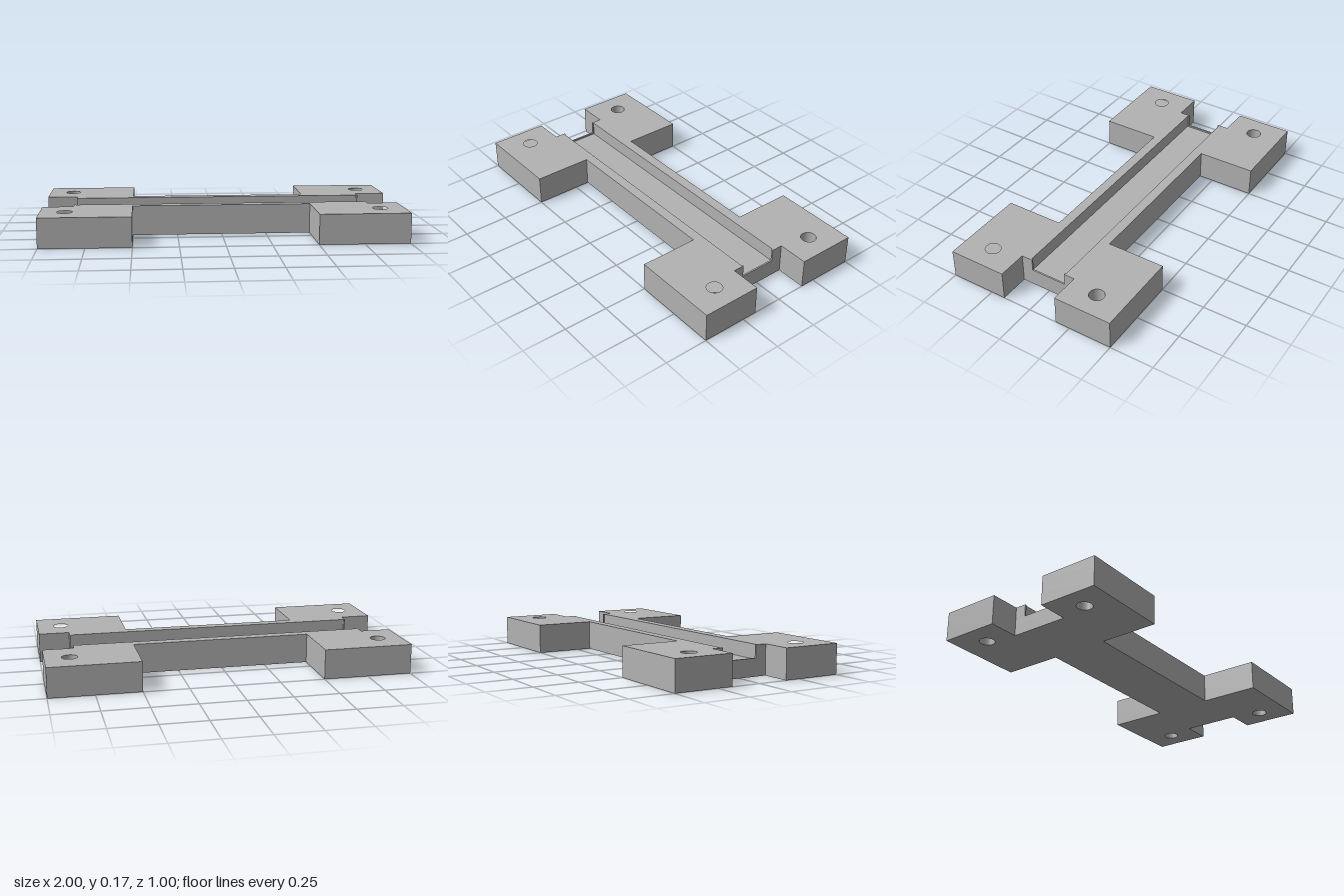
import * as THREE from 'three';

const HEIGHT = 1 / 6;        // total thickness
const FLOOR = 0.088;         // channel floor
const LIP = 0.097;           // top of the low lip closing each channel end
const END = 0.829;           // outer end of the bar between the tabs
const POCKET_X = 0.82, POCKET_Z = 0.11, MOUTH_Z = 0.103;
const BAR_Z = 1 / 6;         // half width of the bar
const HOLE = { x: 0.865, z: 1 / 3, r: 0.042 };

const shapeOf = (points) => new THREE.Shape(points.map(([x, z]) => new THREE.Vector2(x, z)));

function addHole(shape, x, z) {
  const hole = new THREE.Path();
  hole.absarc(x, z, HOLE.r, 0, Math.PI * 2, true);
  shape.holes.push(hole);
}

// Outer edge of one long side with its two tabs, from +x to -x
const sideEdge = (s) => [
  [END, s * BAR_Z], [1, s * BAR_Z], [1, s * 0.5], [0.5, s * 0.5], [0.5, s * BAR_Z],
  [-0.5, s * BAR_Z], [-0.5, s * 0.5], [-1, s * 0.5], [-1, s * BAR_Z], [-END, s * BAR_Z],
];

// Whole H-shaped footprint with four screw holes
function footprint() {
  const shape = shapeOf([...sideEdge(1), ...sideEdge(-1).reverse()]);
  for (const x of [-HOLE.x, HOLE.x]) for (const z of [-HOLE.z, HOLE.z]) addHole(shape, x, z);
  return shape;
}

export function createModel() {
  const model = new THREE.Group();
  model.name = 'mountingBracket';
  const grey = new THREE.MeshStandardMaterial({ color: 0xb2b2b2 });
  grey.name = 'grey';

  // Stands a footprint shape up between two heights
  const addSlab = (name, shape, y0, y1) => {
    const geometry = new THREE.ExtrudeGeometry(shape, {
      depth: y1 - y0, bevelEnabled: false, curveSegments: 32,
    });
    geometry.rotateX(-Math.PI / 2);
    geometry.translate(0, y0, 0);
    const mesh = new THREE.Mesh(geometry, grey);
    mesh.name = name;
    model.add(mesh);
  };

  // Base under the channel
  addSlab('base', footprint(), 0, FLOOR);

  // Thin layer whose pocket leaves a low lip at both ends
  const lipLayer = footprint();
  lipLayer.holes.push(new THREE.Path([
    [-POCKET_X, -POCKET_Z], [-POCKET_X, POCKET_Z], [POCKET_X, POCKET_Z], [POCKET_X, -POCKET_Z],
  ].map(([x, z]) => new THREE.Vector2(x, z))));
  addSlab('channelLip', lipLayer, FLOOR, LIP);

  // Two raised walls with tabs; the channel narrows slightly at its mouths
  for (const s of [1, -1]) {
    const wall = shapeOf([
      ...sideEdge(s),
      [-END, s * MOUTH_Z], [-POCKET_X, s * MOUTH_Z], [-POCKET_X, s * POCKET_Z],
      [POCKET_X, s * POCKET_Z], [POCKET_X, s * MOUTH_Z], [END, s * MOUTH_Z],
    ]);
    for (const x of [-HOLE.x, HOLE.x]) addHole(wall, x, s * HOLE.z);
    addSlab(s > 0 ? 'backWall' : 'frontWall', wall, LIP, HEIGHT);
  }
  return model;
}
